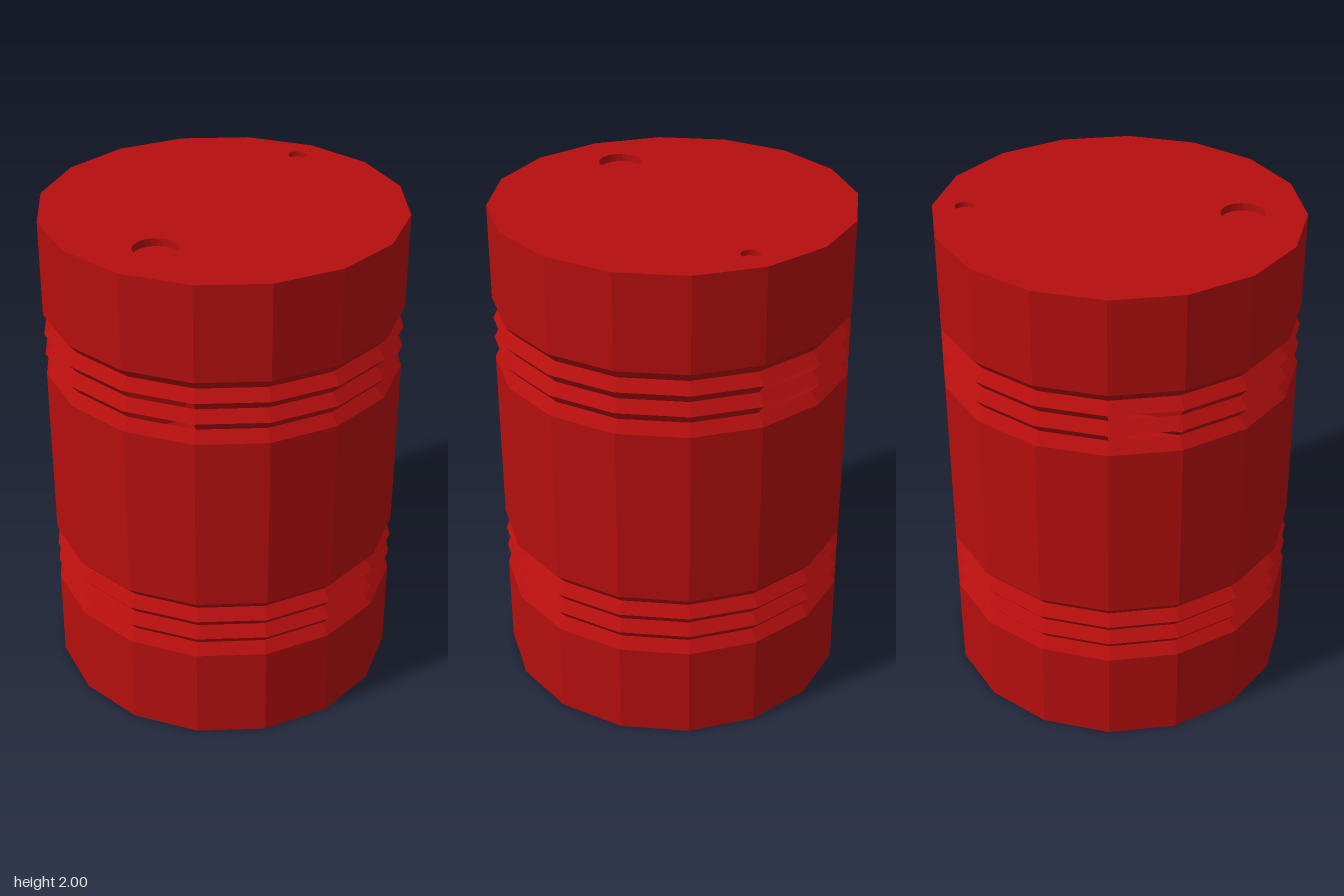
import * as THREE from 'three';

const SIDES = 16, R = 0.705, GROOVE = 0.668, TOP = 2;

export function createModel() {
  const barrel = new THREE.Group();
  barrel.name = 'barrel';
  const red = new THREE.MeshStandardMaterial({ color: 0xb50e0e, flatShading: true, side: THREE.DoubleSide });
  red.name = 'barrel red';

  const add = (name, geometry, y = 0, z = 0) => {
    const mesh = new THREE.Mesh(geometry, red);
    mesh.name = name;
    mesh.position.set(0, y, z);
    barrel.add(mesh);
  };

  // Turned wall section; isOpen(segment, band) leaves a facet out
  const wall = (name, points, isOpen = () => false) => {
    const geometry = new THREE.LatheGeometry(points.map(([r, y]) => new THREE.Vector2(r, y)), SIDES);
    const bands = points.length - 1;
    const source = geometry.index.array, kept = [];
    for (let s = 0; s < SIDES; s++) {
      for (let b = 0; b < bands; b++) {
        const start = (s * bands + b) * 6;
        if (!isOpen(s, b)) kept.push(...source.slice(start, start + 6));
      }
    }
    geometry.setIndex(kept);
    add(name, geometry);
  };

  // Three V-shaped grooves stacked between y0 and y1
  const ribs = (y0, y1) => Array.from({ length: 7 }, (_, i) => [i % 2 ? GROOVE : R, y0 + (y1 - y0) * i / 6]);

  // Smooth walls and ribbed rings
  wall('lowerWall', [[R, 0], [R, 0.388]]);
  wall('lowerRibs', ribs(0.388, 0.642));
  wall('middleWall', [[R, 0.642], [R, 1.365]]);
  // Four pairs of open slots in the upper ribs
  wall('upperRibs', ribs(1.365, 1.62), (s, b) => s % 4 === 0 && (b === 1 || b === 3));
  wall('upperWall', [[R, 1.62], [R, TOP]]);

  // Base plate
  add('base', new THREE.CircleGeometry(R, SIDES).rotateX(Math.PI / 2));

  // Lid with two sunken bungs
  const bungs = [
    { name: 'largeBung', z: 0.465, r: 0.085, depth: 0.03 },
    { name: 'smallBung', z: -0.583, r: 0.036, depth: 0.02 },
  ];
  const lid = new THREE.Shape();
  for (let i = 0; i < SIDES; i++) {
    const a = i / SIDES * Math.PI * 2;
    lid[i ? 'lineTo' : 'moveTo'](R * Math.cos(a), R * Math.sin(a));
  }
  lid.closePath();
  for (const { name, z, r, depth } of bungs) {
    lid.holes.push(new THREE.Path().absarc(0, -z, r, 0, Math.PI * 2, true));
    add(name + 'Rim', new THREE.CylinderGeometry(r, r, depth, 24, 1, true), TOP - depth / 2, z);
    add(name + 'Floor', new THREE.CircleGeometry(r, 24).rotateX(-Math.PI / 2), TOP - depth, z);
  }
  add('lid', new THREE.ShapeGeometry(lid, 12).rotateX(-Math.PI / 2), TOP);

  return barrel;
}
